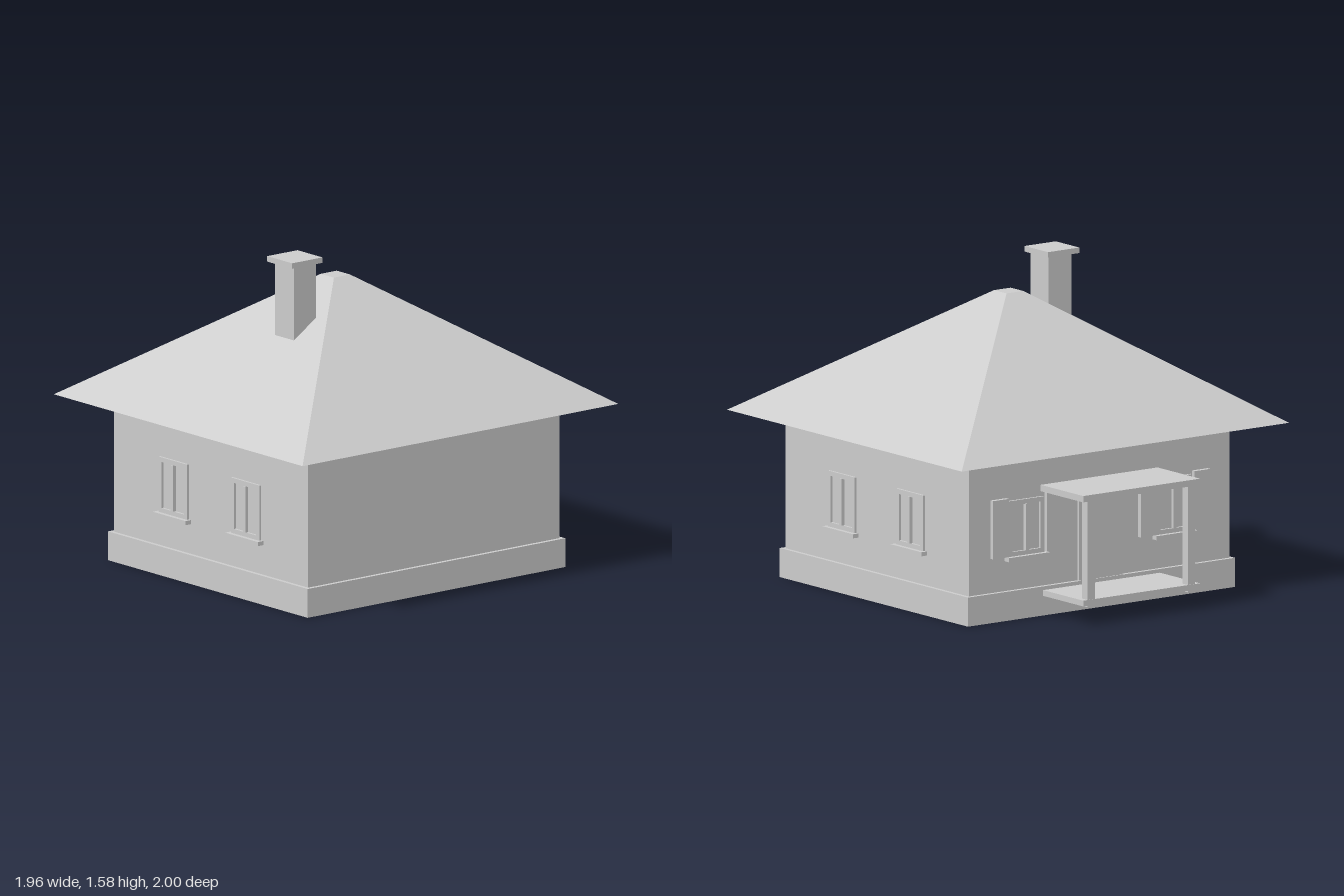
import * as THREE from 'three';

const plaster = new THREE.MeshStandardMaterial({ color: 0xcccccc });
plaster.name = 'light grey';

// Box given by its extents along each axis
function block(parent, name, [x0, x1], [y0, y1], [z0, z1]) {
  const mesh = new THREE.Mesh(new THREE.BoxGeometry(x1 - x0, y1 - y0, z1 - z0), plaster);
  mesh.position.set((x0 + x1) / 2, (y0 + y1) / 2, (z0 + z1) / 2);
  mesh.name = name;
  parent.add(mesh);
  return mesh;
}

// Window built facing +z with its back on z = 0, centred on x = 0
function makeWindow(withShutters) {
  const win = new THREE.Group();
  win.name = 'window';
  const w = 0.107, border = 0.023;
  const outline = new THREE.Shape();
  outline.moveTo(-w, 0.3).lineTo(w, 0.3).lineTo(w, 0.58).lineTo(-w, 0.58).closePath();
  const hole = new THREE.Path();
  const i = w - border;
  hole.moveTo(-i, 0.33).lineTo(-i, 0.557).lineTo(i, 0.557).lineTo(i, 0.33).closePath();
  outline.holes.push(hole);
  const frame = new THREE.Mesh(
    new THREE.ExtrudeGeometry(outline, { depth: 0.012, bevelEnabled: false }), plaster);
  frame.name = 'windowFrame';
  win.add(frame);
  block(win, 'windowMullion', [-0.009, 0.009], [0.33, 0.557], [0, 0.018]);
  block(win, 'windowSill', [-0.123, 0.123], [0.288, 0.308], [0, 0.034]);
  if (withShutters) {
    for (const s of [-1, 1]) {
      const c = s * 0.161;
      block(win, 'shutter', [c - 0.047, c + 0.047], [0.31, 0.595], [0, 0.022]);
    }
  }
  return win;
}

// Hipped roof: a box whose upper corners are drawn in to a small flat cap
function makeRoof() {
  const geometry = new THREE.BoxGeometry(2, 1, 2);
  const p = geometry.attributes.position;
  for (let k = 0; k < p.count; k++) {
    const x = p.getX(k), z = p.getZ(k);
    if (p.getY(k) > 0) p.setXYZ(k, x * 0.05, 1.425, 0.06 + z * 0.05);
    else p.setXYZ(k, x * 0.98, 0.81, 0.065 + z * 0.935);
  }
  geometry.computeVertexNormals();
  const roof = new THREE.Mesh(geometry, plaster);
  roof.name = 'roof';
  return roof;
}

export function createModel() {
  const house = new THREE.Group();
  house.name = 'house';

  // Main body
  block(house, 'foundation', [-0.8, 0.8], [0, 0.142], [-0.68, 0.82]);
  block(house, 'walls', [-0.78, 0.78], [0.142, 0.81], [-0.66, 0.8]);
  house.add(makeRoof());

  // Chimney
  block(house, 'chimney', [-0.4, -0.262], [1.05, 1.555], [0.092, 0.233]);
  block(house, 'chimneyCap', [-0.428, -0.24], [1.555, 1.582], [0.066, 0.254]);

  // Side windows, then shuttered back windows
  for (const side of [-1, 1]) {
    for (const z of [0.34, -0.204]) {
      const win = makeWindow(false);
      win.position.set(side * 0.78, 0, z);
      win.rotation.y = side * Math.PI / 2;
      house.add(win);
    }
    const back = makeWindow(true);
    back.position.set(side * 0.442, 0, -0.66);
    back.rotation.y = Math.PI;
    house.add(back);
  }

  // Back door and porch
  block(house, 'door', [-0.13, 0.13], [0.125, 0.56], [-0.674, -0.66]);
  const porch = new THREE.Group();
  porch.name = 'porch';
  block(porch, 'porchFloor', [-0.35, 0.35], [0.096, 0.124], [-1, -0.67]);
  block(porch, 'porchRoof', [-0.35, 0.35], [0.604, 0.635], [-1, -0.66]);
  for (const s of [-1, 1]) {
    const c = s * 0.3;
    block(porch, 'porchPost', [c - 0.022, c + 0.022], [0.088, 0.604], [-0.998, -0.954]);
  }
  house.add(porch);
  return house;
}
